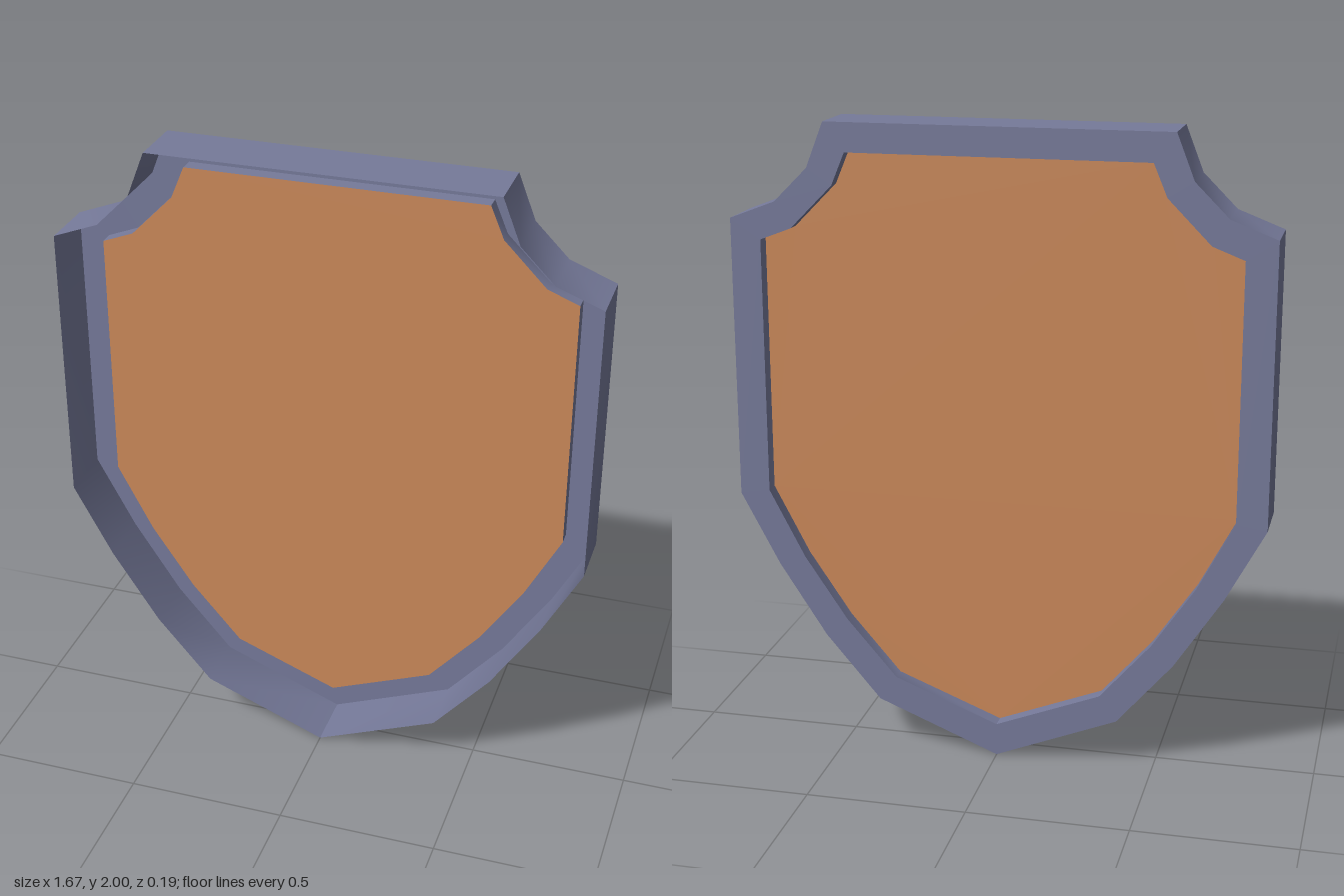
import * as THREE from 'three';
import { toCreasedNormals } from 'three/addons/utils/BufferGeometryUtils.js';

const FRONT = 0.094, BACK = -0.094, PANEL = -0.047;

// Right halves of the outlines, from the top corner down to the tip
const OUTER = [[0.53, 2], [0.585, 1.86], [0.69, 1.755], [0.833, 1.7], [0.833, 0.82],
  [0.71, 0.59], [0.56, 0.36], [0.385, 0.155], [0, 0]];
const INNER = [[0.465, 1.91], [0.507, 1.81], [0.64, 1.675], [0.738, 1.637], [0.738, 0.835],
  [0.625, 0.62], [0.49, 0.42], [0.33, 0.235], [0, 0.105]];

// Mirror a half outline into a closed clockwise loop
function mirrorLoop(half) {
  const left = half.slice(0, -1).reverse().map(([x, y]) => [-x, y]);
  return [...half, ...left];
}

// Add a closed band of quads between two matching loops
function addBand(out, loopA, zA, loopB, zB) {
  const n = loopA.length;
  for (let i = 0; i < n; i++) {
    const j = (i + 1) % n;
    const a0 = [...loopA[i], zA], a1 = [...loopA[j], zA];
    const b0 = [...loopB[i], zB], b1 = [...loopB[j], zB];
    out.push(...a0, ...a1, ...b0, ...b0, ...a1, ...b1);
  }
}

export function createModel() {
  const group = new THREE.Group();
  group.name = 'shield';
  const outer = mirrorLoop(OUTER), inner = mirrorLoop(INNER);

  // Rim: outer wall open at the front, flat back border, short inner lip
  const positions = [];
  addBand(positions, outer, FRONT, outer, BACK);
  addBand(positions, outer, BACK, inner, BACK);
  addBand(positions, inner, BACK, inner, PANEL);
  const rimGeometry = new THREE.BufferGeometry();
  rimGeometry.setAttribute('position', new THREE.Float32BufferAttribute(positions, 3));
  const rim = new THREE.Mesh(
    toCreasedNormals(rimGeometry, THREE.MathUtils.degToRad(35)),
    new THREE.MeshStandardMaterial({ color: 0x767a9a, side: THREE.DoubleSide }));
  rim.name = 'rim';

  // Thin panel, set into the rim
  const shape = new THREE.Shape(inner.map(([x, y]) => new THREE.Vector2(x, y)));
  const panel = new THREE.Mesh(
    new THREE.ShapeGeometry(shape),
    new THREE.MeshStandardMaterial({ color: 0xcb895a, side: THREE.DoubleSide }));
  panel.name = 'panel';
  panel.position.z = PANEL;

  group.add(rim, panel);
  return group;
}
